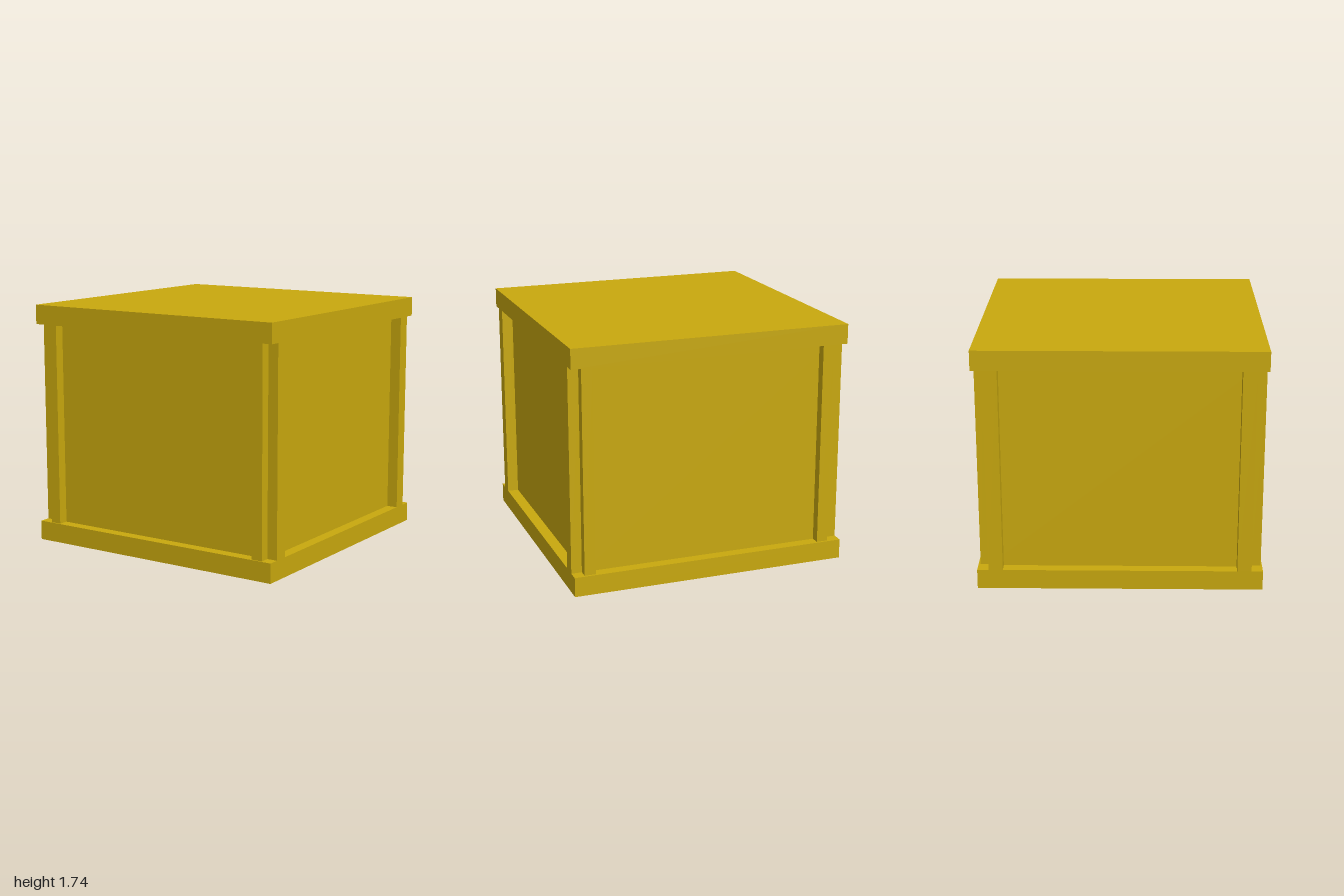
import * as THREE from 'three';

const BASE = 0.14, LID = 1.6, TOP = 1.74;

export function createModel() {
  const crate = new THREE.Group();
  crate.name = 'crate';
  const material = new THREE.MeshStandardMaterial({ color: 0xc8a80e });

  // Box given by its minimum and maximum along each axis
  const addBox = (name, [x0, x1], [y0, y1], [z0, z1]) => {
    const mesh = new THREE.Mesh(new THREE.BoxGeometry(x1 - x0, y1 - y0, z1 - z0), material);
    mesh.position.set((x0 + x1) / 2, (y0 + y1) / 2, (z0 + z1) / 2);
    mesh.name = name;
    crate.add(mesh);
  };
  const span = (side, a, b) => (side > 0 ? [a, b] : [-b, -a]);

  // Base and lid slabs with the recessed body between them
  addBox('base', [-1, 1], [0, BASE], [-1, 1]);
  addBox('body', [-0.92, 0.92], [BASE, LID], [-0.92, 0.92]);
  addBox('lid', [-1, 1], [LID, TOP], [-1, 1]);

  for (const sz of [1, -1]) {
    // Posts flush with the slabs on the left and right sides
    for (const sx of [1, -1]) {
      addBox('sidePost', span(sx, 0.92, 1), [BASE, LID], span(sz, 0.82, 0.92));
    }
    // Slim battens on the front and back, slightly uneven in x
    const batten = span(sz, 0.92, sz > 0 ? 0.99 : 0.985);
    addBox('leftBatten', [0.845, 0.925], [BASE, LID], batten);
    addBox('rightBatten', [-0.905, -0.825], [BASE, LID], batten);
  }
  return crate;
}
